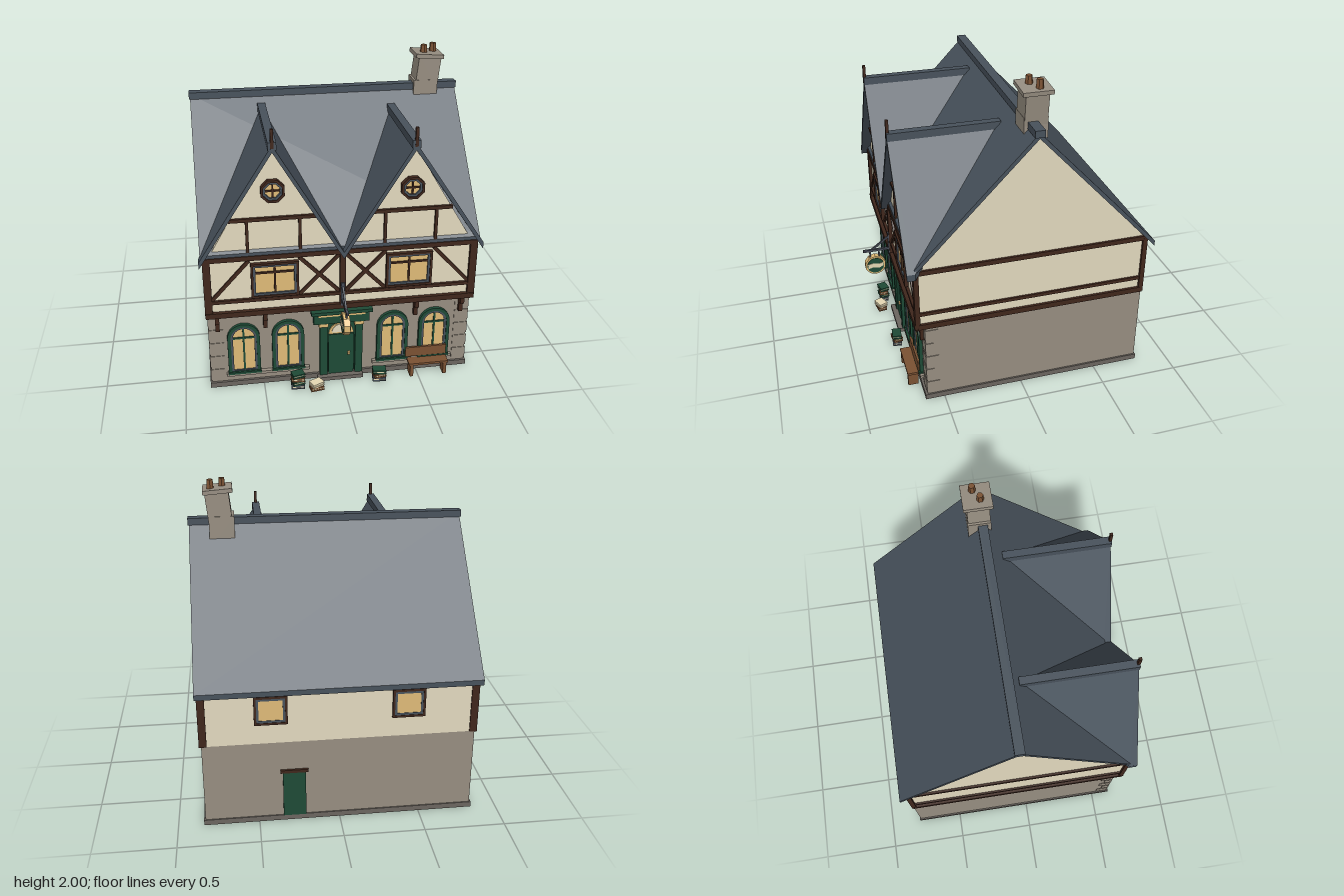
import * as THREE from 'three';
import { ConvexGeometry } from 'three/addons/geometries/ConvexGeometry.js';

const mat = (name, color) => {
  const m = new THREE.MeshStandardMaterial({ color });
  m.name = name;
  return m;
};

export function createModel() {
  const slate = mat('slate', 0x48525c), stone = mat('stone', 0x978e81), plinthStone = mat('dark stone', 0x6c6660);
  const plaster = mat('plaster', 0xe3dabf), timber = mat('timber', 0x40271c), wood = mat('wood', 0x7b5233);
  const green = mat('green paint', 0x1e4a36), glass = mat('lit glass', 0xe0bb78);
  const parchment = mat('parchment', 0xe6d9b4), iron = mat('iron', 0x474c57);
  const model = new THREE.Group();
  model.name = 'timberedInn';

  const group = (name, parent = model) => {
    const g = new THREE.Group();
    g.name = name;
    parent.add(g);
    return g;
  };
  const add = (name, geo, m, parent = model) => {
    const mesh = new THREE.Mesh(geo, m);
    mesh.name = name;
    parent.add(mesh);
    return mesh;
  };
  // box given by its limits on each axis
  const box = (name, m, x0, x1, y0, y1, z0, z1, parent) => {
    const b = add(name, new THREE.BoxGeometry(x1 - x0, y1 - y0, z1 - z0), m, parent);
    b.position.set((x0 + x1) / 2, (y0 + y1) / 2, (z0 + z1) / 2);
    return b;
  };
  // straight bar between two points of a wall plane
  const strut = (name, m, xa, ya, xb, yb, w, z0, z1, parent) => {
    const b = add(name, new THREE.BoxGeometry(Math.hypot(xb - xa, yb - ya), w, z1 - z0), m, parent);
    b.position.set((xa + xb) / 2, (ya + yb) / 2, (z0 + z1) / 2);
    b.rotation.z = Math.atan2(yb - ya, xb - xa);
    return b;
  };
  // sloping slab: flat convex outline thickened downwards
  const slab = (name, m, pts, t, parent) => {
    const v = pts.flatMap(([x, y, z]) => [new THREE.Vector3(x, y, z), new THREE.Vector3(x, y - t, z)]);
    return add(name, new ConvexGeometry(v), m, parent);
  };
  const plate = (name, m, shape, z, depth, parent) => {
    const p = add(name, new THREE.ExtrudeGeometry(shape, { depth, bevelEnabled: false, curveSegments: 8 }), m, parent);
    p.position.z = z;
    return p;
  };
  const poly = (pts) => new THREE.Shape(pts.map(([x, y]) => new THREE.Vector2(x, y)));

  // ---- walls
  const walls = group('walls');
  box('plinth', plinthStone, -0.842, 0.842, 0, 0.035, -0.797, 0.62, walls);
  box('groundFloor', stone, -0.832, 0.832, 0.03, 0.55, -0.79, 0.605, walls);
  const upper = plate('upperFloor', plaster,
    poly([[-0.645, 0.55], [-0.645, 0.94], [0.07, 1.71], [0.79, 0.935], [0.79, 0.55]]), 0, 1.66, walls);
  upper.rotation.y = Math.PI / 2;
  upper.position.x = -0.83;
  for (const s of [-1, 1]) {
    for (let i = 0; i < 5; i++) {
      const w = i % 2 ? 0.05 : 0.08, y = 0.05 + i * 0.098;
      box('quoin', stone, s * 0.79 - 0.046, s * 0.79 + 0.046, y, y + 0.08, 0.608 - w, 0.609, walls);
    }
    box('sillCourse', stone, s * 0.47 - 0.265, s * 0.47 + 0.265, 0.08, 0.1, 0.6, 0.63, walls);
  }

  // ---- main roof
  const roof = group('roof'), ridgeZ = -0.07, ridgeY = 1.74;
  for (const [z, y] of [[0.66, 0.978], [-0.84, 0.92]]) {
    slab('mainSlope', slate, [[-0.855, ridgeY, ridgeZ], [0.855, ridgeY, ridgeZ], [0.855, y, z], [-0.855, y, z]], 0.034, roof);
  }
  box('ridgeCap', slate, -0.862, 0.862, 1.715, 1.758, -0.1, -0.04, roof);

  // ---- front gables
  const regular = (r, n) => poly([...Array(n)].map((_, i) => {
    const a = (i + 0.5) * 2 * Math.PI / n;
    return [r * Math.cos(a), r * Math.sin(a)];
  }));
  const ring = (outer, inner) => { outer.holes.push(inner); return outer; };
  for (const [s, top, zBack] of [[-1, 1.665, -0.005], [1, 1.63, 0.025]]) {
    const g = group('frontGable'), cx = s * 0.415, eaveY = 0.958;
    plate('gableWall', plaster, poly([[cx - 0.41, 0.92], [cx + 0.41, 0.92], [cx, top - 0.025]]), 0.56, 0.085, g);
    for (const ex of [0, s * 0.864]) {
      slab('gableSlope', slate, [[cx, top, 0.705], [cx, top, zBack], [ex, eaveY, 0.655], [ex, eaveY, 0.705]], 0.043, g);
    }
    box('gableRidge', slate, cx - 0.025, cx + 0.025, top - 0.03, top + 0.018, zBack, 0.707, g);
    box('finial', timber, cx - 0.009, cx + 0.009, top - 0.02, top + 0.095, 0.69, 0.708, g);
    const half = 0.415 * (top - 0.03 - 1.19) / (top - 0.03 - 0.93);
    box('collarBeam', timber, cx - half, cx + half, 1.18, 1.202, 0.64, 0.662, g);
    for (const d of [-0.157, 0.157]) box('gablePost', timber, cx + d - 0.009, cx + d + 0.009, 0.95, 1.18, 0.64, 0.66, g);
    // eight-sided window
    const w = group('gableWindow', g);
    w.position.set(cx, top - 0.295, 0.645);
    plate('frame', timber, ring(regular(0.075, 8), regular(0.06, 8)), 0, 0.03, w);
    plate('innerFrame', slate, ring(regular(0.06, 8), regular(0.046, 8)), 0, 0.022, w);
    plate('pane', glass, regular(0.05, 8), 0, 0.008, w);
    box('bar', timber, -0.005, 0.005, -0.05, 0.05, 0, 0.018, w);
    box('bar', timber, -0.05, 0.05, -0.005, 0.005, 0, 0.018, w);
  }

  // ---- timber frame
  const frame = group('timberFrame');
  for (const [y0, y1, out] of [[0.545, 0.58, 0.008], [0.64, 0.662, 0], [0.927, 0.957, 0.004]]) {
    box('frontBeam', timber, -0.842, 0.842, y0, y1, 0.63, 0.662 + out, frame);
    for (const s of [-1, 1]) box('sideBeam', timber, s * 0.833 - 0.009 - out / 2, s * 0.833 + 0.009 + out / 2, y0, y1, -0.79, 0.65, frame);
  }
  box('centrePost', timber, -0.018, 0.018, 0.55, 0.95, 0.64, 0.668, frame);
  for (const s of [-1, 1]) {
    for (const z of [0.65, -0.782]) box('cornerPost', timber, s * 0.822 - 0.023, s * 0.822 + 0.023, 0.55, 0.94, z - 0.015, z + 0.015, frame);
    strut('brace', timber, s * 0.8, 0.665, s * 0.57, 0.92, 0.022, 0.64, 0.657, frame);
    strut('brace', timber, s * 0.02, 0.665, s * 0.265, 0.92, 0.022, 0.64, 0.657, frame);
    strut('brace', timber, s * 0.02, 0.92, s * 0.265, 0.665, 0.022, 0.64, 0.656, frame);
    for (const x of [0.48, 0.777]) {
      slab('jettyBracket', timber, [[s * x - 0.013, 0.545, 0.6], [s * x + 0.013, 0.545, 0.6],
        [s * x + 0.013, 0.545, 0.655], [s * x - 0.013, 0.545, 0.655]], 0.05, frame);
      box('bracketLeg', timber, s * x - 0.013, s * x + 0.013, 0.425, 0.5, 0.6, 0.63, frame);
    }
  }

  // ---- rectangular windows; the back ones are turned around
  const casement = (name, x, y, z, w, h, back) => {
    const g = group(name);
    g.position.set(x, y, z);
    if (back) g.rotation.y = Math.PI;
    const rect = (a, b) => poly([[-a, -b], [a, -b], [a, b], [-a, b]]);
    plate('frame', timber, ring(rect(w, h), rect(w - 0.014, h - 0.014)), 0, back ? 0.014 : 0.025, g);
    plate('innerFrame', slate, ring(rect(w - 0.014, h - 0.014), rect(w - 0.028, h - 0.028)), 0, back ? 0.011 : 0.018, g);
    plate('pane', glass, rect(w - 0.02, h - 0.02), 0, 0.008, g);
    if (back) return;
    box('mullion', timber, -0.006, 0.006, -h + 0.02, h - 0.02, 0, 0.017, g);
    box('transom', timber, -w + 0.02, w - 0.02, h * 0.38, h * 0.38 + 0.012, 0, 0.017, g);
  };
  for (const s of [-1, 1]) {
    casement('upperWindow', s * 0.415, 0.785, 0.645, 0.145, 0.117);
    casement('backWindow', s * 0.415, 0.773, -0.79, 0.1, 0.093, true);
  }

  // ---- arched windows
  const arch = (r, y0, yTop) => {
    const a = poly([[-r, y0], [r, y0]]);
    a.lineTo(r, yTop - r);
    a.absarc(0, yTop - r, r, 0, Math.PI);
    a.closePath();
    return a;
  };
  for (const x of [-0.62, -0.34, 0.335, 0.61]) {
    const g = group('archedWindow');
    g.position.set(x, 0, 0.605);
    plate('frame', green, ring(arch(0.102, 0.1, 0.46), arch(0.081, 0.112, 0.439)), 0, 0.022, g);
    plate('innerFrame', slate, ring(arch(0.081, 0.112, 0.439), arch(0.067, 0.12, 0.425)), 0, 0.016, g);
    plate('pane', glass, arch(0.07, 0.115, 0.43), 0, 0.008, g);
    box('mullion', green, -0.006, 0.006, 0.115, 0.43, 0, 0.015, g);
    box('transom', green, -0.07, 0.07, 0.35, 0.362, 0, 0.015, g);
    box('sill', green, -0.105, 0.105, 0.095, 0.11, 0, 0.03, g);
  }

  // ---- front entrance
  const door = group('entrance');
  box('step', plinthStone, -0.155, 0.14, 0, 0.026, 0.6, 0.66, door);
  box('doorSurround', green, -0.1, 0.1, 0.025, 0.43, 0.6, 0.612, door);
  box('doorLeaf', green, -0.082, 0.082, 0.025, 0.325, 0.6, 0.622, door);
  const fan = new THREE.Shape();
  fan.absarc(0, 0.33, 0.08, 0, Math.PI);
  plate('fanlight', glass, fan, 0.612, 0.008, door);
  const fanPane = new THREE.Shape();
  fanPane.absarc(0, 0.342, 0.06, 0, Math.PI);
  plate('fanlightPane', plaster, fanPane, 0.62, 0.005, door);
  box('knob', glass, 0.042, 0.058, 0.17, 0.19, 0.62, 0.634, door);
  for (const s of [-1, 1]) {
    box('pilaster', green, s * 0.114 - 0.024, s * 0.114 + 0.024, 0.025, 0.42, 0.6, 0.63, door);
    box('capital', glass, s * 0.114 - 0.03, s * 0.114 + 0.03, 0.395, 0.418, 0.6, 0.638, door);
  }
  box('entablature', green, -0.178, 0.178, 0.42, 0.5, 0.6, 0.64, door);
  box('fascia', glass, -0.15, 0.15, 0.475, 0.486, 0.63, 0.646, door);
  box('cornice', green, -0.195, 0.195, 0.495, 0.517, 0.6, 0.66, door);

  // ---- back door
  box('backDoor', green, 0.21, 0.35, 0.035, 0.34, -0.802, -0.78);
  box('backDoorLintel', timber, 0.195, 0.365, 0.34, 0.36, -0.805, -0.78);

  // ---- hanging sign, built facing sideways along x
  const sign = group('hangingSign');
  sign.rotation.y = -Math.PI / 2;
  box('arm', iron, 0.65, 0.845, 0.602, 0.617, -0.008, 0.008, sign);
  strut('armBrace', iron, 0.655, 0.712, 0.79, 0.612, 0.012, -0.006, 0.006, sign);
  box('wallPlate', iron, 0.655, 0.676, 0.57, 0.73, -0.012, 0.012, sign);
  for (const x of [0.74, 0.8]) box('hanger', iron, x - 0.005, x + 0.005, 0.54, 0.605, -0.005, 0.005, sign);
  const disc = group('signBoard', sign);
  disc.position.set(0.77, 0.5, 0);
  plate('rim', glass, regular(0.07, 10), -0.02, 0.04, disc);
  plate('field', green, regular(0.057, 16), -0.023, 0.046, disc);
  plate('band', parchment, poly([[-0.052, -0.006], [-0.02, -0.02], [0.02, -0.012], [0.05, -0.02],
    [0.052, 0.014], [0.02, 0.02], [-0.02, 0.012], [-0.052, 0.02]]), -0.026, 0.052, disc);

  // ---- chimney
  const chimney = group('chimney');
  box('base', stone, 0.575, 0.73, 1.58, 1.78, -0.162, -0.018, chimney);
  strut('stack', stone, 0.658, 1.74, 0.678, 1.935, 0.145, -0.158, -0.02, chimney);
  strut('cap', stone, 0.58, 1.944, 0.76, 1.93, 0.026, -0.18, 0, chimney);
  for (const [x, z] of [[0.643, -0.07], [0.713, -0.11]]) {
    const pot = add('pot', new THREE.CylinderGeometry(0.02, 0.024, 0.06, 6).toNonIndexed(), wood, chimney);
    pot.geometry.computeVertexNormals();
    pot.position.set(x, 1.97, z);
  }

  // ---- bench
  const bench = group('bench');
  box('seat', wood, 0.435, 0.695, 0.085, 0.1, 0.63, 0.703, bench);
  box('backrest', wood, 0.425, 0.695, 0.112, 0.18, 0.622, 0.636, bench);
  for (const x of [0.455, 0.675]) {
    box('leg', wood, x - 0.011, x + 0.011, 0, 0.086, 0.635, 0.7, bench);
    box('backPost', wood, x - 0.009, x + 0.009, 0.085, 0.17, 0.614, 0.628, bench);
  }

  // ---- stacks of books: thick covers around a thin block of pages
  const books = (x, z, covers, turn) => {
    const g = group('bookStack');
    g.position.set(x, 0, z);
    covers.forEach((cover, i) => {
      const b = group('book', g), w = 0.043 - (i % 2) * 0.004;
      b.position.y = i * 0.027;
      b.rotation.y = turn + (i % 2 ? 0.18 : -0.1);
      box('lowerCover', cover, -w, w, 0, 0.01, -0.03, 0.03, b);
      box('pages', parchment, -w + 0.004, w - 0.004, 0.01, 0.018, -0.026, 0.027, b);
      box('upperCover', cover, -w, w, 0.018, 0.027, -0.03, 0.03, b);
    });
  };
  books(-0.29, 0.69, [slate, green, wood, green], 0.05);
  books(-0.175, 0.728, [wood, parchment], 0.25);
  books(0.24, 0.69, [slate, wood, green], 0);
  return model;
}
